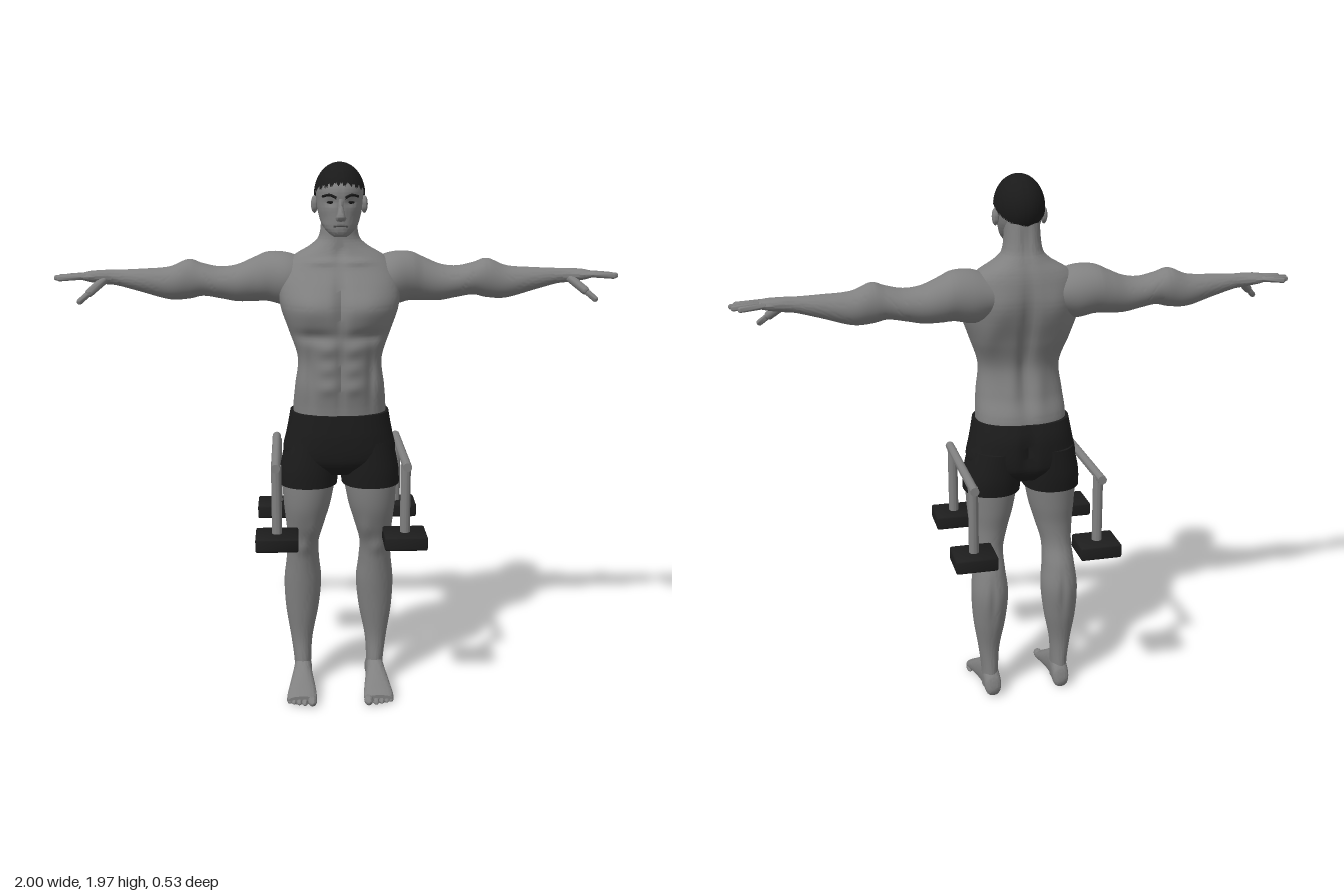
import * as THREE from 'three';
import { toCreasedNormals } from 'three/addons/utils/BufferGeometryUtils.js';
import { RoundedBoxGeometry } from 'three/addons/geometries/RoundedBoxGeometry.js';

const mat = (name, color, side = THREE.FrontSide) => {
  const m = new THREE.MeshStandardMaterial({ color, side });
  m.name = name;
  return m;
};
const AXES = { y: [0, 2, 1], x: [2, 1, 0], z: [1, 0, 2] }; // u, v and path axis

// Smooth closed loft; each row is [t, uMin, uMax, vMin, vMax].
function loft(axis, rows, { n = 2, seg = 40, sub = 7, shape } = {}) {
  const [U, V, T] = AXES[axis], pos = [], index = [], rings = [];
  const at = (i) => rows[Math.min(Math.max(i, 0), rows.length - 1)];
  for (let i = 0; i < rows.length - 1; i++) {
    for (let s = 0; s < sub; s++) {
      const f = s / sub;
      rings.push(rows[i].map((b, k) => {
        const a = at(i - 1)[k], c = at(i + 1)[k], d = at(i + 2)[k];
        return b + 0.5 * f * (c - a + f * (2 * a - 5 * b + 4 * c - d + f * (3 * (b - c) + d - a)));
      }));
    }
  }
  rings.push(at(rows.length));
  const put = (t, u, v) => {
    const p = [0, 0, 0];
    p[U] = u; p[V] = v; p[T] = t;
    if (shape) shape(p);
    pos.push(...p);
  };
  const power = (c) => Math.sign(c) * Math.abs(c) ** (2 / n);
  for (const [t, u0, u1, v0, v1] of rings) {
    for (let j = 0; j < seg; j++) {
      const a = (j / seg) * Math.PI * 2;
      put(t, (u0 + u1) / 2 + (u1 - u0) / 2 * power(Math.cos(a)), (v0 + v1) / 2 + (v1 - v0) / 2 * power(Math.sin(a)));
    }
  }
  const last = (rings.length - 1) * seg, c0 = rings.length * seg;
  for (const r of [rings[0], rings[rings.length - 1]]) put(r[0], (r[1] + r[2]) / 2, (r[3] + r[4]) / 2);
  for (let j = 0; j < seg; j++) {
    const k = (j + 1) % seg;
    for (let b = 0; b < last; b += seg) index.push(b + j, b + seg + j, b + k, b + k, b + seg + j, b + seg + k);
    index.push(c0, j, k, c0 + 1, last + k, last + j);
  }
  const g = new THREE.BufferGeometry();
  g.setAttribute('position', new THREE.Float32BufferAttribute(pos, 3));
  g.setIndex(index);
  return g;
}

// Symmetric upright loft from rows of [y, halfWidth, back, front].
const upright = (rows, opt) => loft('y', rows.map(([y, w, b, f]) => [y, -w, w, b, f]), opt);

const bell = (d, s) => Math.exp(-((d / s) ** 2));
// Muscle relief: [x, y, width, height, push], mirrored in x.
const relief = (p, list, dir) => {
  for (const [x, y, sx, sy, d] of list) p[2] += dir * d * bell(Math.abs(p[0]) - x, sx) * bell(p[1] - y, sy);
};
const FRONT = [
  [0, 1.5, 0.018, 0.09, -0.02], [0.1, 1.49, 0.07, 0.06, 0.014], [0.09, 1.385, 0.08, 0.022, -0.016],
  [0, 1.24, 0.012, 0.13, -0.01], [0.105, 1.24, 0.016, 0.11, -0.012], [0.045, 1.34, 0.032, 0.025, 0.008],
  [0.045, 1.272, 0.032, 0.024, 0.008], [0.045, 1.205, 0.032, 0.024, 0.008], [0.06, 1.635, 0.06, 0.012, 0.008],
  [0, 1.67, 0.018, 0.03, -0.012],
];
const BACK = [
  [0, 1.4, 0.022, 0.2, -0.022], [0.1, 1.53, 0.055, 0.07, 0.012], [0.14, 1.42, 0.04, 0.07, 0.012],
  [0.05, 1.22, 0.03, 0.09, 0.01], [0, 1.76, 0.018, 0.06, -0.008],
];
const torsoShape = (p) => {
  if (p[2] > 0.055) relief(p, FRONT, Math.min(1, (p[2] - 0.055) / 0.05));
  else relief(p, BACK, -Math.min(1, (0.055 - p[2]) / 0.05));
};

// Rounded rod between two points.
function rod(a, b, r) {
  const A = new THREE.Vector3(...a), B = new THREE.Vector3(...b), d = B.clone().sub(A);
  const g = new THREE.CapsuleGeometry(r, d.length(), 6, 14);
  g.applyQuaternion(new THREE.Quaternion().setFromUnitVectors(new THREE.Vector3(0, 1, 0), d.normalize()));
  return g.translate(...A.add(B).multiplyScalar(0.5).toArray());
}
const ball = (x, y, z, rx, ry, rz) => new THREE.SphereGeometry(1, 20, 14).scale(rx, ry, rz).translate(x, y, z);

function mirrored(geo) {
  const g = geo.clone().scale(-1, 1, 1), a = g.index.array;
  for (let i = 0; i < a.length; i += 3) [a[i], a[i + 1]] = [a[i + 1], a[i]];
  return g;
}

export function createModel() {
  const model = new THREE.Group();
  model.name = 'athleteWithParallelBars';
  const skin = mat('skin', 0x808080), cloth = mat('shortsCloth', 0x1c1c1c);
  const hair = mat('hair', 0x1a1a1a, THREE.DoubleSide), lip = mat('lip', 0x5c5c5c);
  const metal = mat('barMetal', 0x808080), rubber = mat('footRubber', 0x1e1e1e);
  const add = (name, geo, material) => {
    const mesh = new THREE.Mesh(toCreasedNormals(geo, 1), material);
    mesh.name = name;
    model.add(mesh);
  };
  const pair = (name, geo, material) => {
    add(name + 'Left', geo, material);
    add(name + 'Right', mirrored(geo), material);
  };

  // Torso and neck
  add('torso', upright([
    [1.02, 0.165, -0.08, 0.165], [1.12, 0.165, -0.073, 0.172], [1.2, 0.158, -0.042, 0.183], [1.3, 0.148, -0.03, 0.186],
    [1.4, 0.18, -0.062, 0.2], [1.48, 0.207, -0.088, 0.205], [1.55, 0.212, -0.1, 0.172], [1.61, 0.195, -0.097, 0.13],
    [1.65, 0.16, -0.088, 0.105], [1.69, 0.095, -0.072, 0.09], [1.73, 0.067, -0.058, 0.085], [1.84, 0.06, -0.04, 0.09],
  ], { n: 2.3, seg: 96, sub: 9, shape: torsoShape }), skin);

  // Arms
  pair('arm', loft('x', [
    [0.1, -0.085, 0.08, 1.5, 1.63], [0.18, -0.103, 0.1, 1.475, 1.66], [0.25, -0.105, 0.08, 1.488, 1.662],
    [0.3, -0.1, 0.062, 1.487, 1.642], [0.36, -0.09, 0.055, 1.487, 1.617], [0.42, -0.083, 0.052, 1.498, 1.61],
    [0.48, -0.077, 0.048, 1.507, 1.622], [0.53, -0.077, 0.045, 1.497, 1.636], [0.6, -0.073, 0.04, 1.495, 1.61],
    [0.7, -0.055, 0.03, 1.523, 1.603], [0.78, -0.042, 0.02, 1.545, 1.6], [0.82, -0.042, 0.025, 1.55, 1.6],
    [0.87, -0.049, 0.04, 1.558, 1.597], [0.9, -0.047, 0.04, 1.566, 1.591],
  ]), skin);

  // Fingers and thumb
  [[0.96, -0.05, -0.04], [0.982, -0.024, -0.015], [0.99, 0.004, 0.008], [0.975, 0.033, 0.03]].forEach(([x, tip, base], i) => {
    pair('finger' + (i + 1), rod([0.885, 1.58, base], [x, 1.574, tip], 0.0095), skin);
  });
  pair('thumbBase', rod([0.825, 1.565, 0.015], [0.87, 1.527, 0.052], 0.015), skin);
  pair('thumbTip', rod([0.87, 1.527, 0.052], [0.902, 1.499, 0.073], 0.0105), skin);

  // Legs
  pair('leg', loft('y', [
    [0.03, 0.105, 0.17, -0.07, 0.03], [0.1, 0.106, 0.17, -0.064, 0.036], [0.2, 0.1, 0.182, -0.064, 0.028],
    [0.32, 0.077, 0.2, -0.085, 0.042], [0.43, 0.066, 0.205, -0.097, 0.058], [0.52, 0.074, 0.196, -0.08, 0.072],
    [0.6, 0.076, 0.19, -0.05, 0.088], [0.68, 0.055, 0.196, -0.045, 0.12], [0.76, 0.032, 0.204, -0.055, 0.145],
    [0.86, 0.015, 0.208, -0.065, 0.154], [0.95, 0.012, 0.2, -0.07, 0.15],
  ], {
    seg: 48,
    shape: (p) => {
      if (p[2] > 0.03) relief(p, [[0.135, 0.59, 0.03, 0.03, 0.008], [0.09, 0.66, 0.025, 0.05, 0.008]], 1);
      if (p[2] < -0.03) relief(p, [[0.135, 0.42, 0.012, 0.08, -0.008]], -1);
    },
  }), skin);

  // Feet and toes
  pair('foot', loft('z', [
    [-0.08, 0.015, 0.05, 0.118, 0.155], [-0.065, 0.002, 0.09, 0.104, 0.167], [-0.01, 0.002, 0.125, 0.104, 0.17],
    [0.04, 0.004, 0.112, 0.102, 0.177], [0.1, 0.002, 0.078, 0.093, 0.19], [0.145, 0, 0.045, 0.088, 0.199],
    [0.168, 0.002, 0.034, 0.092, 0.194],
  ], { n: 2.3 }), skin);
  for (let i = 0; i < 5; i++) {
    const r = i ? 0.0115 : 0.017;
    pair('toe' + (i + 1), ball([0.105, 0.133, 0.154, 0.173, 0.189][i], r, 0.17 - i * 0.007, r, r, 0.03), skin);
  }

  // Shorts
  add('shortsSeat', upright([
    [0.88, 0.1, -0.05, 0.13], [0.92, 0.18, -0.085, 0.165], [0.96, 0.203, -0.096, 0.178], [1.02, 0.192, -0.1, 0.184],
    [1.06, 0.184, -0.097, 0.183], [1.105, 0.176, -0.085, 0.18],
  ], {
    n: 2.4, seg: 64,
    shape: (p) => { if (p[2] < 0) relief(p, [[0, 1, 0.02, 0.08, -0.02]], -1); },
  }), cloth);
  pair('shortsLeg', loft('y', [
    [0.835, 0.008, 0.218, -0.074, 0.161], [0.9, 0.004, 0.214, -0.086, 0.166], [1, 0.002, 0.192, -0.092, 0.165],
  ], { n: 2.2 }), cloth);

  // Head
  add('head', upright([
    [1.722, 0.022, 0.115, 0.15], [1.735, 0.04, 0.075, 0.163], [1.76, 0.061, 0.02, 0.167], [1.8, 0.074, -0.03, 0.168],
    [1.84, 0.079, -0.048, 0.17], [1.88, 0.081, -0.05, 0.17], [1.92, 0.068, -0.03, 0.15], [1.95, 0.042, 0.005, 0.115],
    [1.962, 0.015, 0.04, 0.08],
  ], {
    seg: 64,
    shape: (p) => { if (p[2] > 0.08) relief(p, [[0.034, 1.838, 0.018, 0.012, -0.008], [0.06, 1.78, 0.02, 0.02, -0.005]], 1); },
  }), skin);
  add('nose', upright([
    [1.775, 0.013, 0.15, 0.176], [1.785, 0.018, 0.15, 0.194], [1.797, 0.014, 0.15, 0.195], [1.825, 0.009, 0.15, 0.182],
    [1.85, 0.009, 0.15, 0.173],
  ], { seg: 24 }), skin);
  pair('ear', ball(0.086, 1.828, 0.05, 0.012, 0.03, 0.019), skin);

  // Face details follow the curve of the face
  const faceZ = (x) => 0.061 + 0.111 * Math.sqrt(1 - (x / 0.08) ** 2);
  const line = (pts, r) => new THREE.TubeGeometry(
    new THREE.CatmullRomCurve3(pts.map((p) => new THREE.Vector3(...p))), 16, r, 8);
  pair('eyebrow', line([[0.014, 1.852], [0.035, 1.862], [0.06, 1.857]].map(([x, y]) => [x, y, faceZ(x)]), 0.0045), hair);
  pair('eye', ball(0.034, 1.838, faceZ(0.034) - 0.007, 0.013, 0.005, 0.0045), hair);
  add('mouth', line([[-0.024, 1.759, 0.161], [0, 1.762, 0.168], [0.024, 1.759, 0.161]], 0.004), lip);

  // Hair cap with a tilted, jagged hairline
  const cap = new THREE.SphereGeometry(1, 96, 24);
  const P = cap.attributes.position, uv = cap.attributes.uv;
  for (let i = 0; i < P.count; i++) {
    const phi = uv.getX(i) * Math.PI * 2, c = Math.sin(phi);
    const fringe = c > 0.2 ? (Math.round(uv.getX(i) * 96) % 4 < 2 ? 0.005 : -0.004) : 0;
    const edge = 1.86 + (c > 0 ? 0.034 : 0.06) * c + fringe;
    const th = (1 - uv.getY(i)) * Math.acos((edge - 1.86) / 0.11);
    P.setXYZ(i, -Math.cos(phi) * Math.sin(th) * 0.088, 1.86 + Math.cos(th) * 0.11, 0.06 + c * Math.sin(th) * 0.117);
  }
  add('hairCap', cap, hair);

  // Parallel bars
  pair('handleBar', new THREE.CylinderGeometry(0.016, 0.016, 0.48, 24).rotateX(Math.PI / 2).translate(0.23, 0.935, 0), metal);
  for (const [end, z] of [['Front', 0.197], ['Back', -0.194]]) {
    pair('post' + end, new THREE.CylinderGeometry(0.018, 0.018, 0.26, 24).translate(0.228, 0.805, z), metal);
    for (const [side, s] of [['Left', 1], ['Right', -1]]) {
      add('base' + end + side, new RoundedBoxGeometry(0.152, 0.052, 0.136, 2, 0.008).translate(0.228 * s, 0.661, z), rubber);
    }
  }
  return model;
}
